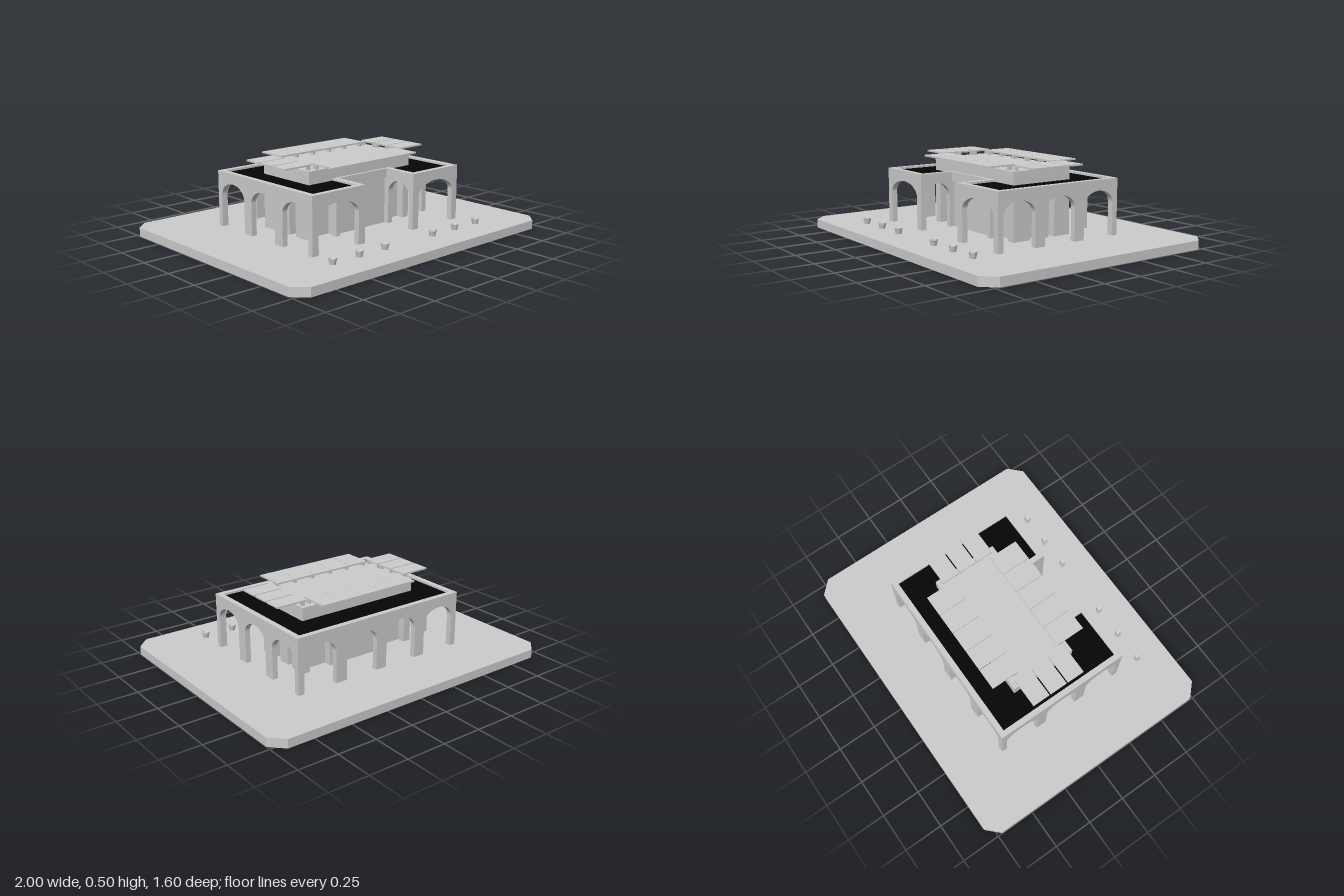
import * as THREE from 'three';

const GREY = new THREE.MeshStandardMaterial({ color: 0xcccccc, flatShading: true });
const BLACK = new THREE.MeshStandardMaterial({ color: 0x050505, side: THREE.DoubleSide });
const FLOOR = 0.055, TOP = 0.403, T = 0.035;

export function createModel() {
  const model = new THREE.Group();

  function add(name, geometry, material = GREY) {
    const mesh = new THREE.Mesh(geometry, material);
    mesh.name = name;
    model.add(mesh);
    return mesh;
  }

  // box given by its limits on each axis
  function box(name, x0, x1, y0, y1, z0, z1) {
    const mesh = add(name, new THREE.BoxGeometry(x1 - x0, y1 - y0, z1 - z0));
    mesh.position.set((x0 + x1) / 2, (y0 + y1) / 2, (z0 + z1) / 2);
  }

  const polygon = (points) => new THREE.Shape(points.map(([x, y]) => new THREE.Vector2(x, y)));

  // wall from a to b, cut by arched openings [start, end]; the piers run down through the slab
  function arcade(name, a, b, openings) {
    const s = new THREE.Shape();
    s.moveTo(a, 0);
    for (const [p, q] of openings) {
      s.lineTo(p, 0);
      s.lineTo(p, 0.255);
      s.absellipse((p + q) / 2, 0.255, (q - p) / 2, 0.083, Math.PI, 0, true);
      s.lineTo(q, 0);
    }
    s.lineTo(b, 0);
    s.lineTo(b, TOP);
    s.lineTo(a, TOP);
    return add(name, new THREE.ExtrudeGeometry(s, { depth: T, bevelEnabled: false, curveSegments: 20 }));
  }

  // wall running along z, its +x face at x
  function sideArcade(name, x, a, b, openings) {
    const wall = arcade(name, a, b, openings);
    wall.rotation.y = -Math.PI / 2;
    wall.position.x = x;
  }

  // ground slab with cut corners
  const slab = polygon([[-1, -0.72], [-0.92, -0.8], [0.92, -0.8], [1, -0.72],
    [1, 0.72], [0.92, 0.8], [-0.92, 0.8], [-1, 0.72]]);
  const slabGeometry = new THREE.ExtrudeGeometry(slab, { depth: FLOOR, bevelEnabled: false });
  add('groundSlab', slabGeometry.rotateX(Math.PI / 2).translate(0, FLOOR, 0));

  // outer arcades: four arches behind, three on each side, one per front wing
  arcade('backArcade', -0.6, 0.6, [[-0.56, -0.335], [-0.26, -0.037], [0.037, 0.26], [0.335, 0.56]])
    .position.z = -0.44;
  const sideOpenings = [[-0.405, -0.18], [-0.11, 0.11], [0.18, 0.405]];
  sideArcade('leftArcade', 0.6, -0.44, 0.44, sideOpenings);
  sideArcade('rightArcade', -0.6 + T, -0.44, 0.44, sideOpenings);
  arcade('leftFrontArcade', 0.2, 0.6, [[0.25, 0.555]]).position.z = 0.44 - T;
  arcade('rightFrontArcade', -0.6, -0.2, [[-0.555, -0.25]]).position.z = 0.44 - T;
  sideArcade('leftWingInnerWall', 0.2 + T, 0.19, 0.44, [[0.232, 0.405]]);
  sideArcade('rightWingInnerWall', -0.2, 0.19, 0.44, [[0.232, 0.405]]);
  box('entranceLintel', -0.2, 0.2, 0.345, TOP, 0.19, 0.215);

  // dark flat roof behind a low rim, with a pale ceiling under it
  const roof = polygon([[-0.58, -0.42], [0.58, -0.42], [0.58, 0.42], [0.22, 0.42],
    [0.22, 0.2], [-0.22, 0.2], [-0.22, 0.42], [-0.58, 0.42]]);
  const roofGeometry = new THREE.ShapeGeometry(roof).rotateX(Math.PI / 2);
  add('flatRoof', roofGeometry, BLACK).position.y = 0.39;
  add('ceiling', roofGeometry).position.y = 0.345;

  // central hall: upper block on corner and middle piers, with door recesses between them
  box('hallUpper', -0.415, 0.415, 0.31, 0.47, -0.223, 0.197);
  box('hallInnerWalls', -0.365, 0.365, 0, 0.31, -0.173, 0.147);
  box('hallMiddle', -0.22, 0.22, 0, 0.31, -0.223, 0.197);
  box('hallSidePiers', -0.415, 0.415, 0, 0.31, -0.064, 0.017);
  for (const [x0, x1] of [[-0.415, -0.365], [0.365, 0.415]]) {
    box('hallCorner', x0, x1, 0, 0.31, 0.073, 0.197);
    box('hallCorner', x0, x1, 0, 0.31, -0.223, -0.107);
  }

  // roof panels on short posts around the hall
  for (let i = 0; i < 5; i++) {
    const x = (i - 2) * 0.139;
    box('frontPanel', x - 0.068, x + 0.068, 0.492, 0.502, 0.133, 0.323);
    box('backPanel', x - 0.068, x + 0.068, 0.492, 0.502, -0.328, -0.14);
  }
  for (let i = 0; i < 6; i++) {
    const x = (i - 2.5) * 0.134;
    box('frontPost', x - 0.01, x + 0.01, 0.47, 0.492, 0.15, 0.18);
    box('backPost', x - 0.01, x + 0.01, 0.47, 0.492, -0.19, -0.16);
  }
  for (const s of [-1, 1]) {
    for (const z of [-0.138, -0.015, 0.108]) {
      box('sidePanel', s * 0.468 - 0.098, s * 0.468 + 0.098, 0.492, 0.502, z - 0.057, z + 0.057);
      for (const d of [-0.048, 0.048]) {
        box('sidePost', s * 0.388 - 0.012, s * 0.388 + 0.012, 0.47, 0.492, z + d - 0.008, z + d + 0.008);
      }
    }
  }

  // row of round planters in front
  const potProfile = [[0, 0], [0.017, 0], [0.023, 0.028], [0.025, 0.03], [0.025, 0.038],
    [0.02, 0.038], [0.009, 0.02], [0, 0.02]].map(([r, y]) => new THREE.Vector2(r, y));
  for (const x of [-0.598, -0.4, -0.2, 0.2, 0.4, 0.595]) {
    add('planter', new THREE.LatheGeometry(potProfile, 16)).position.set(x, FLOOR, 0.603);
  }
  return model;
}
